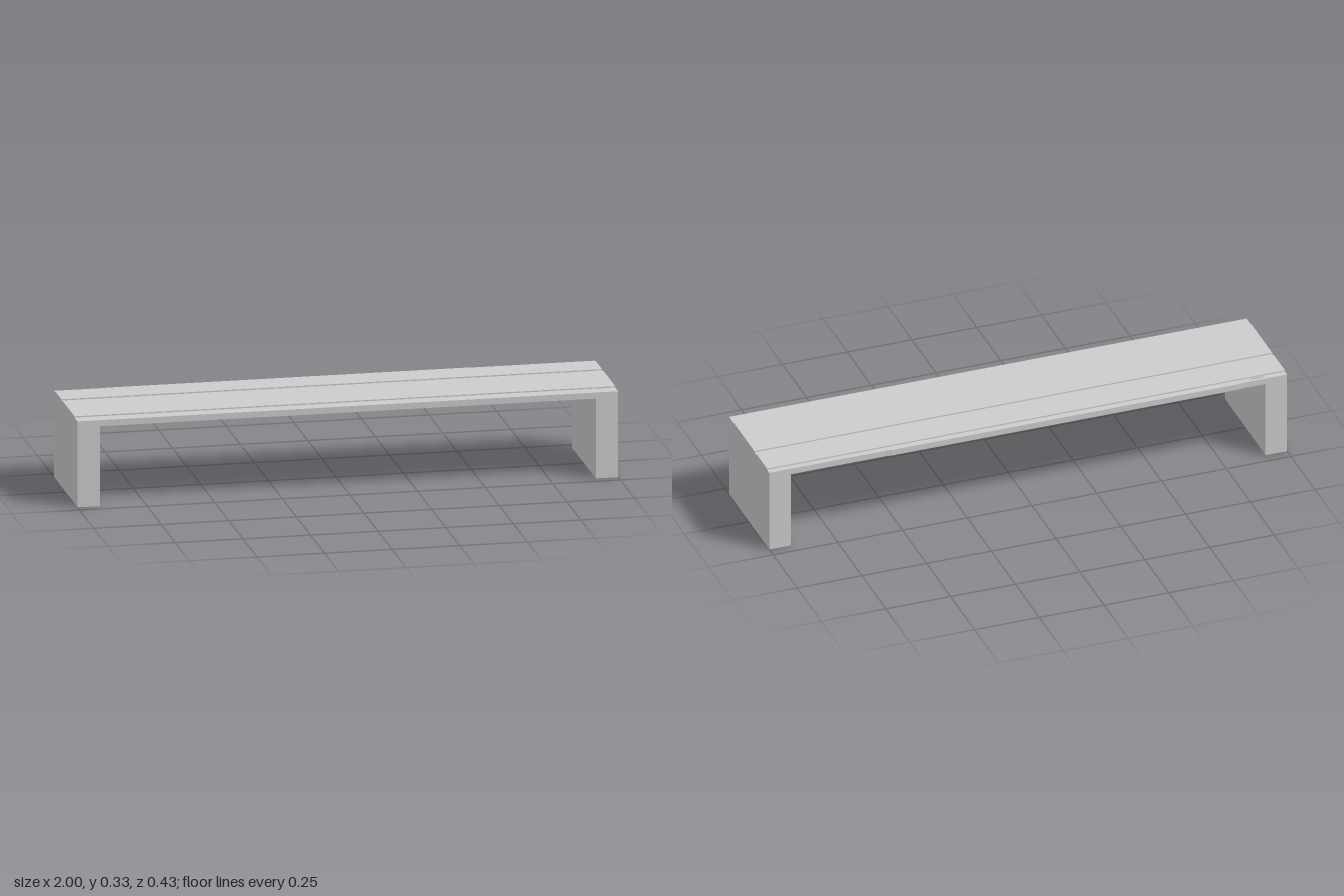
import * as THREE from 'three';

const TOP = 0.323, UNDER = 0.30, FRONT = 0.212, BACK = -0.21;

export function createModel() {
  const group = new THREE.Group();
  const material = new THREE.MeshStandardMaterial({ color: 0xcccccc, flatShading: true });

  const add = (name, geometry) => {
    const mesh = new THREE.Mesh(geometry, material);
    mesh.name = name;
    group.add(mesh);
  };
  const box = (name, x0, x1, y0, y1, z0, z1) => add(name,
    new THREE.BoxGeometry(x1 - x0, y1 - y0, z1 - z0)
      .translate((x0 + x1) / 2, (y0 + y1) / 2, (z0 + z1) / 2));

  // Seat slab: plan outline with a slightly proud back edge and a small slot
  const plan = new THREE.Shape([
    [-1, -FRONT], [1, -FRONT], [1, -BACK], [0.55, -BACK],
    [0.53, 0.213], [-0.8, 0.213], [-0.82, -BACK], [-1, -BACK],
  ].map(([x, y]) => new THREE.Vector2(x, y)));
  plan.holes.push(new THREE.Path([
    [-0.915, 0.195], [-0.905, 0.199], [-0.87, 0.199], [-0.86, 0.195],
    [-0.87, 0.191], [-0.905, 0.191],
  ].map(([x, y]) => new THREE.Vector2(x, y))));
  add('seatSlab', new THREE.ExtrudeGeometry(plan, { depth: TOP - UNDER, bevelEnabled: false })
    .rotateX(-Math.PI / 2).translate(0, UNDER, 0));

  // Solid end legs
  box('leftLeg', 0.917, 1, 0, UNDER, BACK, FRONT);
  box('rightLeg', -1, -0.917, 0, UNDER, BACK, FRONT);

  // Raised planks, divided by a shallow groove; the rear one is cut short of the slot
  box('frontPlank', -1, 1, TOP, 0.328, -0.055, 0.16);
  box('backPlank', -1, 1, TOP, 0.328, -0.187, -0.075);

  return group;
}
